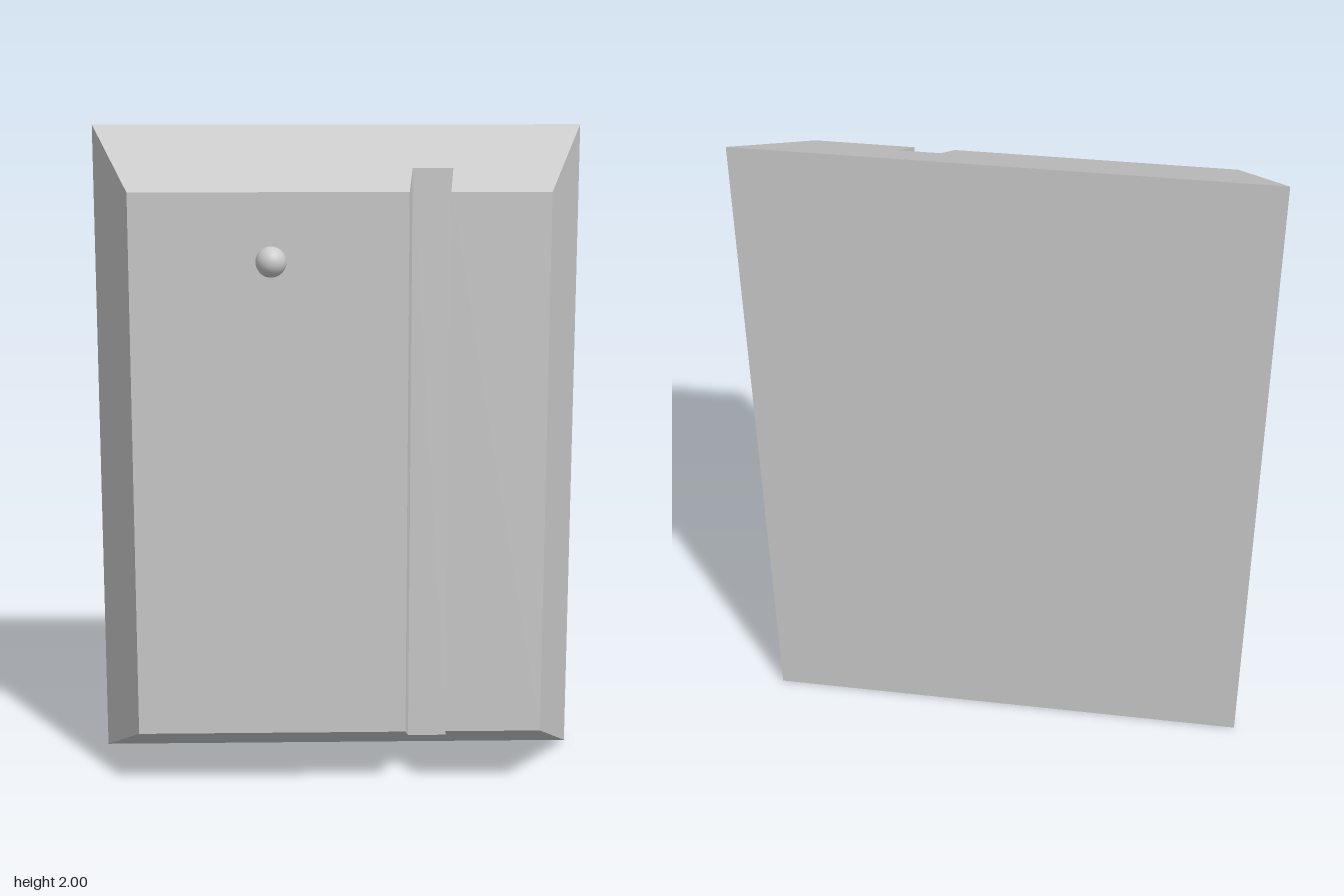
import * as THREE from 'three';

const BACK = -0.225, FRONT = 0.18, BEVEL = 0.183;

export function createModel() {
  const model = new THREE.Group();
  const material = new THREE.MeshStandardMaterial({ color: 0xcccccc });

  // Bevelled panel: plan outline with a slanted groove, as [x, z]
  const outline = [
    [-0.75, BACK], [-0.612, FRONT], [0.2, FRONT], [0.217, 0.042],
    [0.337, 0.042], [0.32, FRONT], [0.612, FRONT], [0.75, BACK],
  ];
  const shape = new THREE.Shape(outline.map(([x, z]) => new THREE.Vector2(x, -z)));
  const body = new THREE.ExtrudeGeometry(shape, { depth: 2, bevelEnabled: false });
  body.rotateX(-Math.PI / 2);

  // Slope the top and bottom inward towards the front
  const pos = body.attributes.position;
  for (let i = 0; i < pos.count; i++) {
    const inset = BEVEL * (pos.getZ(i) - BACK) / (FRONT - BACK);
    pos.setY(i, pos.getY(i) > 1 ? 2 - inset : inset);
  }
  body.computeVertexNormals();
  const panel = new THREE.Mesh(body, material);
  panel.name = 'groovedPanel';
  model.add(panel);

  // Round knob half sunk into the front face
  const knob = new THREE.Mesh(new THREE.SphereGeometry(0.045, 32, 16), material);
  knob.name = 'knob';
  knob.position.set(-0.2, 1.617, FRONT);
  model.add(knob);

  return model;
}
